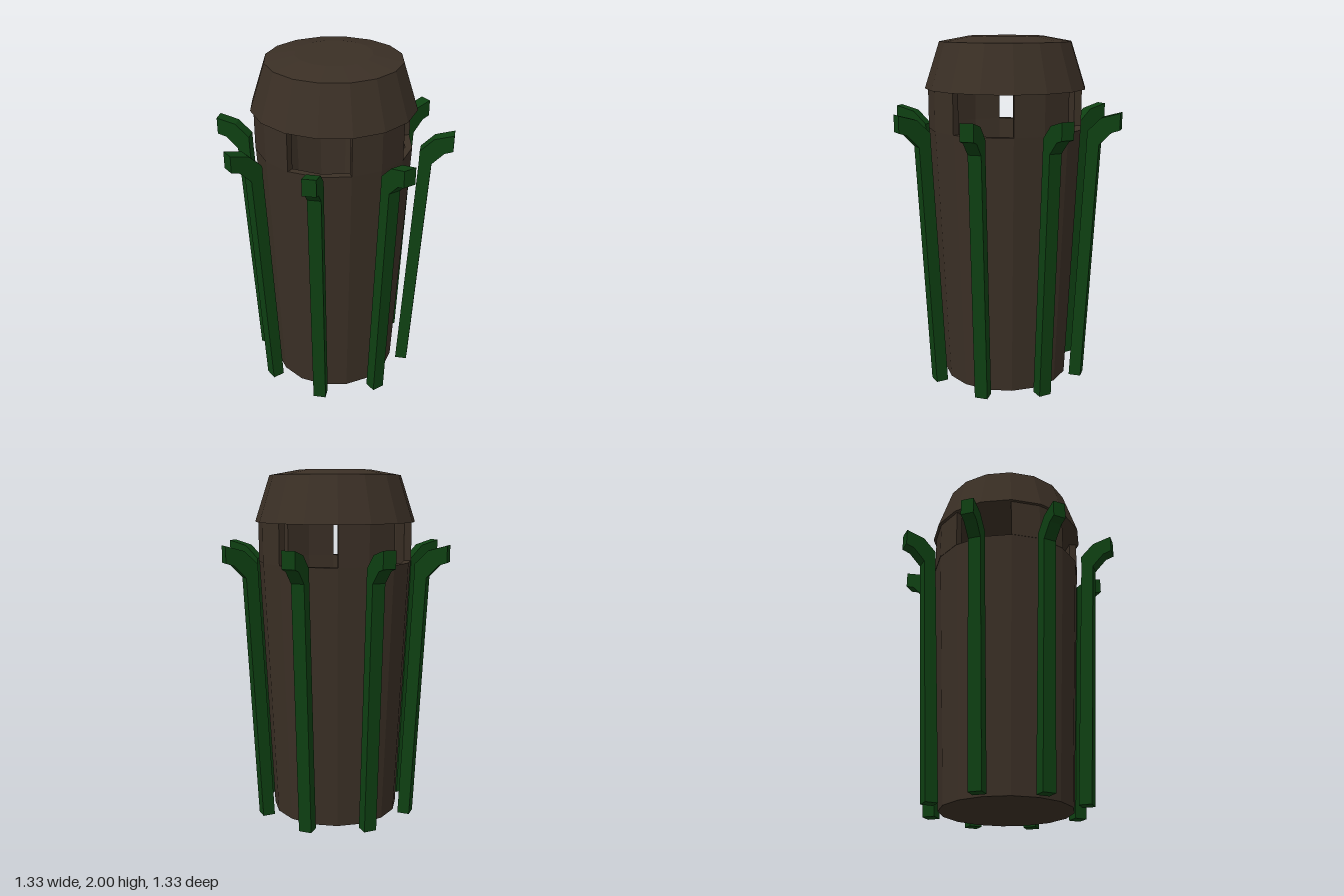
import * as THREE from 'three';

const SIDES = 16;
const STEP = (Math.PI * 2) / SIDES;

export function createModel() {
  const group = new THREE.Group();
  const brown = new THREE.MeshStandardMaterial({ color: 0x3a2f25, flatShading: true });
  brown.name = 'dark brown';
  const green = new THREE.MeshStandardMaterial({ color: 0x0e4012, flatShading: true });
  green.name = 'dark green';

  const add = (geometry, material, name, angle = 0) => {
    const mesh = new THREE.Mesh(geometry, material);
    mesh.name = name;
    mesh.rotation.y = angle;
    group.add(mesh);
  };
  const points = (list) => list.map(([x, y]) => new THREE.Vector2(x, y));
  const lathe = (list) => new THREE.LatheGeometry(points(list), SIDES);

  // Hollow tapered bin with a thick rim
  add(lathe([[0, 0], [0.37, 0], [0.44, 1.485], [0.4, 1.485], [0.335, 0.04], [0, 0.04]]), brown, 'binBody');

  // Bevelled lid overhanging the openings
  add(lathe([[0, 1.71], [0.46, 1.71], [0.375, 1.97], [0.21, 2], [0, 2]]), brown, 'lid');

  // Four curved posts that carry the lid, with an opening between each pair
  const arc = (r, steps) => steps.map((s) => [r * Math.cos(s * STEP), r * Math.sin(s * STEP)]);
  const postShape = new THREE.Shape(points([...arc(0.442, [-1, 0, 1]), ...arc(0.4, [1, 0, -1])]));
  const postGeometry = new THREE.ExtrudeGeometry(postShape, { depth: 0.225, bevelEnabled: false });
  postGeometry.rotateX(-Math.PI / 2).translate(0, 1.485, 0);
  for (let i = 0; i < 4; i++) add(postGeometry, brown, 'lidPost', (i * Math.PI) / 2);

  // Eight slats around the bin, bent outward at the top
  const slatShape = new THREE.Shape(points([
    [0.41, 0], [0.48, 0], [0.553, 1.41], [0.62, 1.48], [0.667, 1.495],
    [0.667, 1.59], [0.56, 1.56], [0.485, 1.485], [0.483, 1.41],
  ]));
  const slatGeometry = new THREE.ExtrudeGeometry(slatShape, { depth: 0.074, bevelEnabled: false });
  slatGeometry.translate(0, 0, -0.037);
  for (let i = 0; i < 8; i++) add(slatGeometry, green, 'slat', (i * Math.PI) / 4);

  return group;
}
